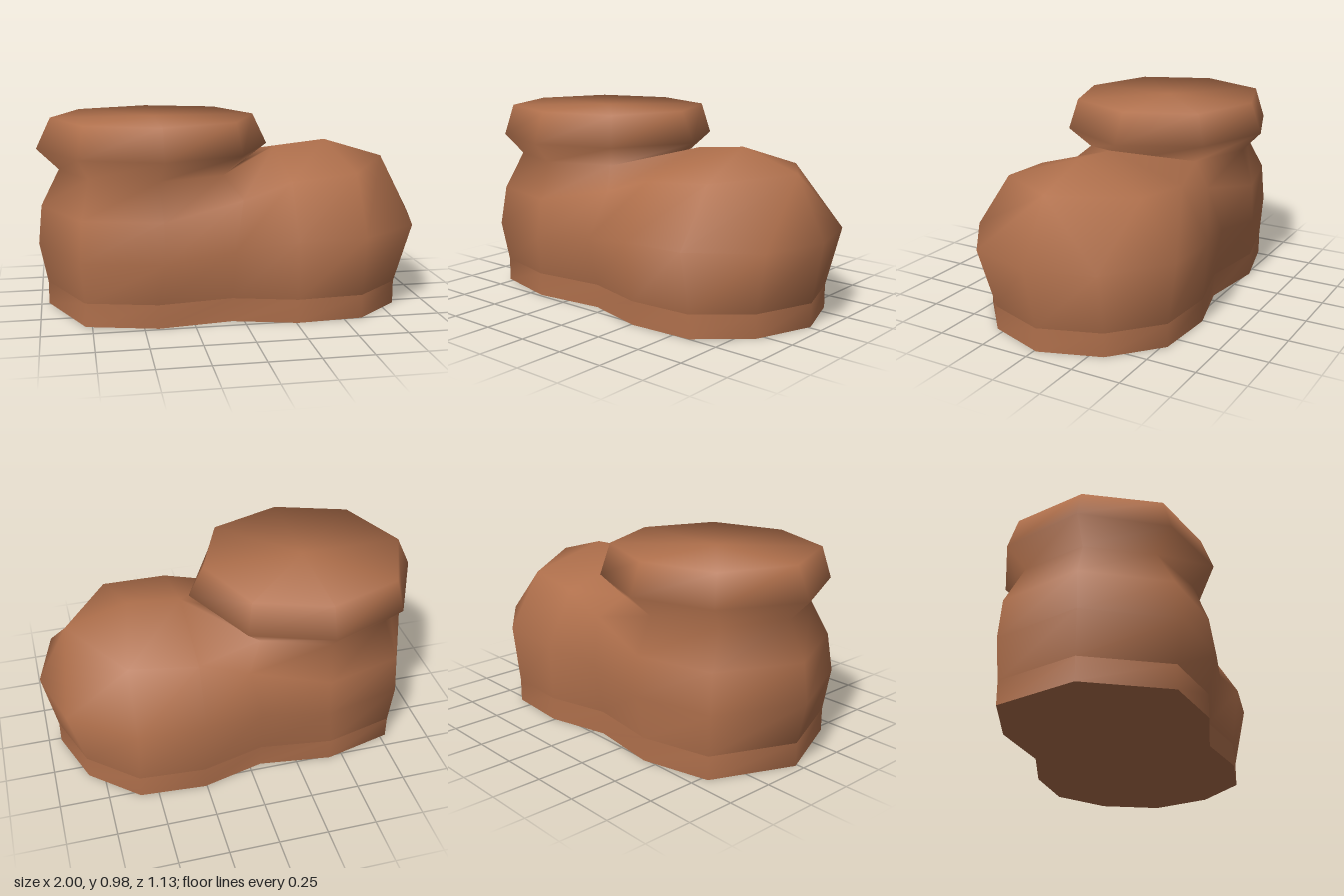
import * as THREE from 'three';
import { mergeVertices } from 'three/addons/utils/BufferGeometryUtils.js';

const material = new THREE.MeshStandardMaterial({ color: 0xb0704c });

// Half a ring runs from the toe along +z to the heel; the other side is mirrored about z = mid.
function ring(half, mid = 0) {
  const back = half.slice(1, -1).reverse().map(([x, y, z]) => [x, y, -z]);
  return [...half, ...back].map(([x, y, z]) => [x, y, z + mid]);
}

// Skin stacked rings; optional centre points close the bottom and top.
function loft(rings, bottom, top) {
  const n = rings[0].length;
  const pos = rings.flat(2);
  const index = [];
  for (let r = 0; r < rings.length - 1; r++) {
    for (let i = 0; i < n; i++) {
      const a = r * n + i, b = r * n + (i + 1) % n;
      index.push(a, a + n, b, b, a + n, b + n);
    }
  }
  const addCap = (centre, start, up) => {
    const c = pos.length / 3;
    pos.push(...centre);
    for (let i = 0; i < n; i++) {
      const a = start + i, b = start + (i + 1) % n;
      index.push(...(up ? [c, b, a] : [c, a, b]));
    }
  };
  if (bottom) addCap(bottom, 0, false);
  if (top) addCap(top, (rings.length - 1) * n, true);
  let geo = new THREE.BufferGeometry();
  geo.setAttribute('position', new THREE.Float32BufferAttribute(pos, 3));
  geo.setIndex(index);
  geo = mergeVertices(geo, 1e-4);
  geo.computeVertexNormals();
  return geo;
}

export function createModel() {
  const group = new THREE.Group();
  const add = (name, geo) => {
    const mesh = new THREE.Mesh(geo, material);
    mesh.name = name;
    group.add(mesh);
  };

  // Outline of the sole
  const outline = [[0.935, 0], [0.828, 0.305], [0.592, 0.513], [0.258, 0.535],
    [-0.06, 0.452], [-0.43, 0.5], [-0.782, 0.412], [-0.96, 0]];
  const soleRing = (y) => ring(outline.map(([x, z]) => [x, y, z]), -0.013);

  // Straight sole wall and flat underside
  add('soleWall', loft([soleRing(0), soleRing(0.12)]));
  add('soleBottom', loft([soleRing(0)], [0, 0, 0]));

  // Widest part of the upper
  const bulge = ring([[1, 0.43, 0], [0.905, 0.43, 0.335], [0.59, 0.43, 0.565], [0.25, 0.42, 0.565],
    [-0.05, 0.38, 0.505], [-0.4, 0.33, 0.53], [-0.8, 0.33, 0.435], [-1, 0.33, 0]]);
  // Shoulder where the upper turns inwards
  const shoulder = ring([[0.84, 0.74, 0], [0.84, 0.74, 0], [0.59, 0.715, 0.375], [0.25, 0.69, 0.41],
    [0, 0.61, 0.43], [-0.4, 0.53, 0.51], [-0.79, 0.53, 0.41], [-0.98, 0.53, 0]], -0.01);

  // Eight-sided ankle and cuff rings; all toe points share the front corner
  const octagon = (x0, w, d, cx, cz, y) => ring(
    [[w, 0], [w, 0], [w, 0], [w, 0], [cx, cz], [0, d], [-cx, cz], [-w, 0]]
      .map(([x, z]) => [x + x0, y, z]), -0.012);
  const ankle = octagon(-0.415, 0.47, 0.44, 0.33, 0.32, 0.716);
  const cuffMiddle = octagon(-0.396, 0.6, 0.547, 0.4, 0.402, 0.825);
  const cuffRim = octagon(-0.396, 0.524, 0.488, 0.372, 0.36, 0.983);

  // Ridge over the toe; further back it is already the ankle
  const apex = [0.52, 0.838, -0.012], instep = [0.25, 0.81, -0.012];
  const toeTop = [apex, apex, apex, instep];
  const ridge = [...toeTop, ...ankle.slice(4, 11), ...toeTop.slice(1).reverse()];

  // Upper and cuff in one skin, closed by a flat top
  const rings = [soleRing(0.12), bulge, shoulder, ridge, ankle, cuffMiddle, cuffRim];
  const upper = loft(rings, null, [-0.396, 0.983, -0.012]);
  // Lean the rim normals outwards so the top shades softly into the cuff
  const normals = upper.attributes.normal.array;
  loft(rings).attributes.normal.array.forEach((v, i) => { normals[i] += v; });
  upper.normalizeNormals();
  add('upperAndCuff', upper);

  return group;
}
